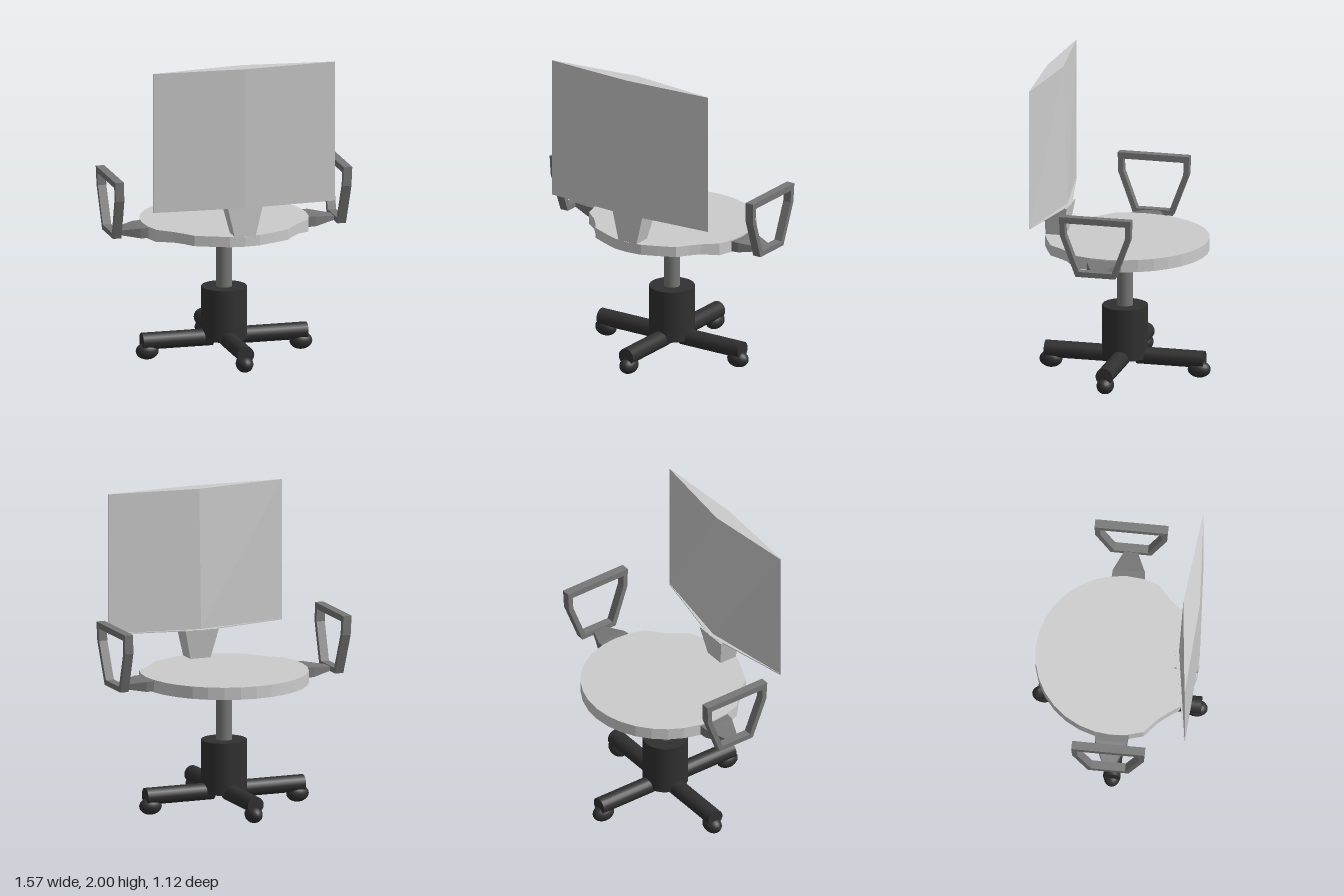
import * as THREE from 'three';

const mat = (color) => new THREE.MeshStandardMaterial({ color });
const flat = (color) => new THREE.MeshStandardMaterial({ color, flatShading: true });

// Move every vertex of a geometry by a rule
function reshape(geo, rule) {
  const p = geo.attributes.position;
  const v = new THREE.Vector3();
  for (let i = 0; i < p.count; i++) {
    v.fromBufferAttribute(p, i);
    rule(v);
    p.setXYZ(i, v.x, v.y, v.z);
  }
  geo.computeVertexNormals();
  return geo;
}

const toShape = (pts) => new THREE.Shape(pts.map(([x, y]) => new THREE.Vector2(x, y)));

export function createModel() {
  const chair = new THREE.Group();
  const grey = flat(0xcccccc), armGrey = flat(0x777777), steel = mat(0x777777), black = mat(0x303030);

  function add(name, geo, material, x = 0, y = 0, z = 0) {
    const m = new THREE.Mesh(geo, material);
    m.name = name;
    m.position.set(x, y, z);
    chair.add(m);
    return m;
  }

  // Seat: round at the front, pinched beside a rear lobe
  const rear = [[0.41, 0.28], [0.36, 0.34], [0.31, 0.41], [0.2, 0.46], [0.1, 0.5]];
  const outline = [...rear.map(([x, z]) => [-x, z]).reverse()];
  const a0 = Math.PI - 0.38, a1 = Math.PI * 2 + 0.38, steps = 20;
  for (let i = 0; i <= steps; i++) {
    const a = a0 + (a1 - a0) * i / steps;
    outline.push([0.54 * Math.cos(a), 0.54 * Math.sin(a)]);
  }
  outline.push(...rear, [0, 0.51]);
  const seat = new THREE.ExtrudeGeometry(toShape(outline), { depth: 0.08, bevelEnabled: false });
  seat.rotateX(Math.PI / 2);
  add('seat', reshape(seat, (v) => {
    v.y += 0.9;
    if (v.z > 0.25 && v.y < 0.85) v.y += 0.012;
  }), grey);

  // Backrest: flattened diamond section, thickest along the centre line
  const back = new THREE.BoxGeometry(2, 1, 1, 2, 1, 1);
  add('backrest', reshape(back, (v) => {
    const top = v.y > 0, rearSide = v.z > 0, centre = Math.abs(v.x) < 0.5;
    v.x *= 0.6;
    v.y = top ? 2 : 1.09;
    if (!centre) v.z = rearSide ? 0.476 : 0.472;
    else v.z = rearSide ? 0.512 : (top ? 0.405 : 0.378);
  }), grey);

  // Thin lower lip of the backrest, reaching forward over the stem
  const lip = new THREE.BoxGeometry(2, 0.006, 1, 2, 1, 1);
  add('backrestLip', reshape(lip, (v) => {
    const rearSide = v.z > 0;
    v.z = Math.abs(v.x) > 0.5 ? (rearSide ? 0.476 : 0.47) : (rearSide ? 0.512 : 0.35);
    v.x *= 0.6;
    v.y += 1.089;
  }), grey);

  // Stem flaring upward from seat to backrest
  add('backStem', reshape(new THREE.BoxGeometry(2, 1, 1), (v) => {
    const top = v.y > 0;
    v.x *= top ? 0.115 : 0.065;
    v.z = v.z > 0 ? 0.505 : (top ? 0.355 : 0.39);
    v.y = top ? 1.09 : 0.88;
  }), grey);

  // Armrest loops and their tapered brackets
  const loop = [[-0.13, 0.842], [0.13, 0.842], [0.23, 1.11], [0.235, 1.235], [-0.235, 1.235], [-0.23, 1.11]];
  const hole = [[-0.108, 0.876], [-0.197, 1.115], [-0.2, 1.195], [0.2, 1.195], [0.197, 1.115], [0.108, 0.876]];
  for (const s of [1, -1]) {
    const side = s > 0 ? 'left' : 'right';
    const shape = toShape(loop);
    shape.holes.push(toShape(hole));
    const arm = new THREE.ExtrudeGeometry(shape, { depth: 0.056, bevelEnabled: false });
    arm.translate(0, 0, -0.028).rotateY(-Math.PI / 2);
    add(side + 'Armrest', reshape(arm, (v) => {
      v.x += s * (0.742 + 0.013 * (v.y - 0.842) / 0.393);
    }), armGrey);

    const bracket = new THREE.BoxGeometry(2, 1, 2, 2, 1, 1);
    add(side + 'ArmBracket', reshape(bracket, (v) => {
      const k = Math.round(v.x * s) + 1, up = v.y > 0;
      v.x = s * [0.45, 0.58, 0.73][k];
      v.z *= [0.11, 0.103, 0.038][k];
      v.y = up ? [0.895, 0.89, 0.868][k] : [0.823, 0.826, 0.846][k];
    }), armGrey);
  }

  // Column and hub
  add('column', new THREE.CylinderGeometry(0.052, 0.052, 0.42, 24), steel, 0, 0.63);
  add('hub', new THREE.CylinderGeometry(0.146, 0.146, 0.34, 32), black, 0, 0.28);

  // Four legs in a cross, each on a rounded caster
  for (let i = 0; i < 4; i++) {
    const alongX = i % 2 === 0;
    const a = i * Math.PI / 2;
    const reach = alongX ? 0.545 : 0.522;
    const leg = new THREE.CylinderGeometry(0.055, 0.055, reach - 0.08, 20);
    leg.rotateZ(Math.PI / 2).translate((reach + 0.08) / 2, 0.121, 0).rotateY(a);
    add('leg' + (i + 1), leg, black);
    const caster = new THREE.SphereGeometry(0.055, 20, 14);
    caster.scale(1.36, 1, 1).translate(alongX ? 0.508 : 0.487, 0.056, 0).rotateY(a);
    add('caster' + (i + 1), caster, black);
  }
  return chair;
}
